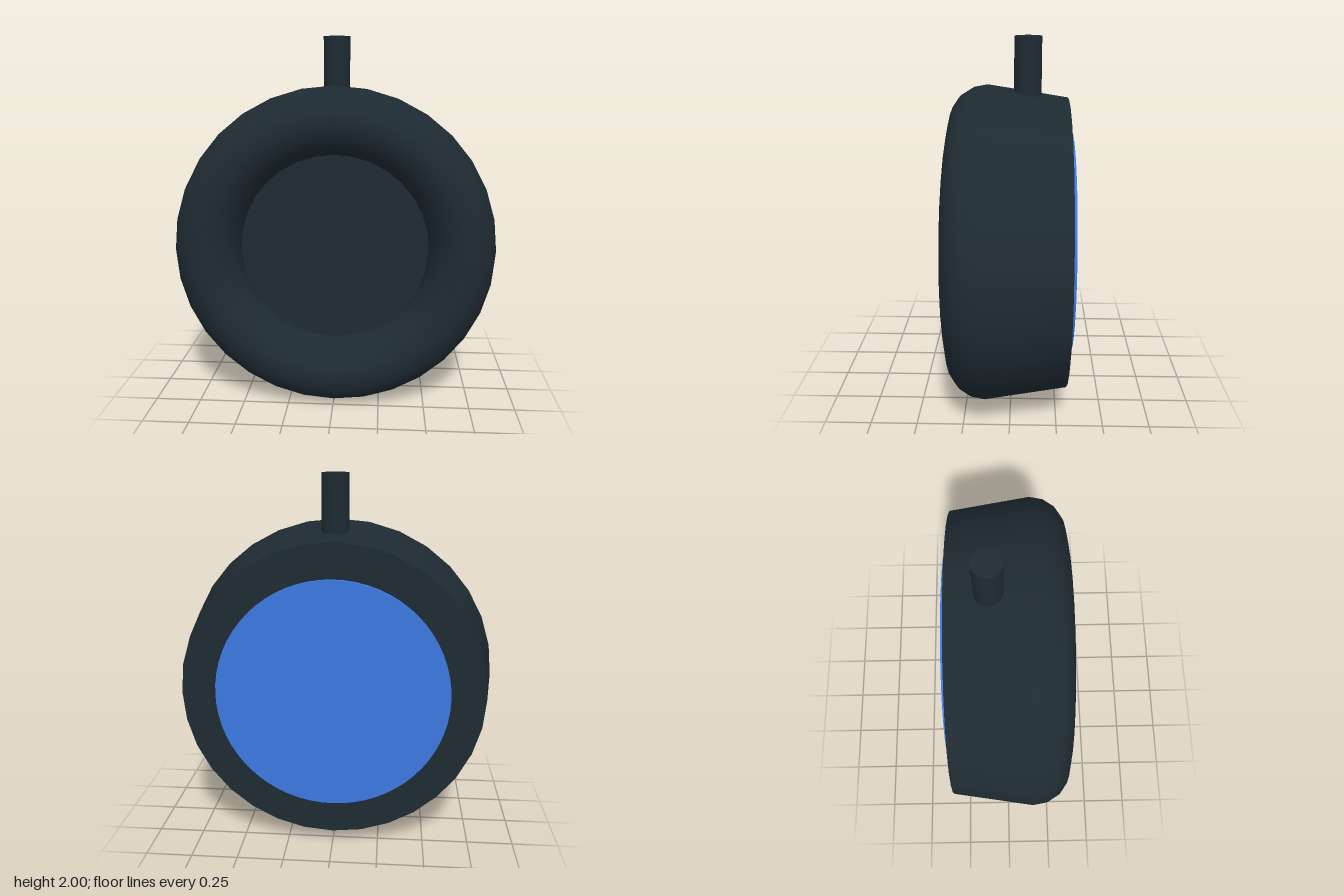
import * as THREE from 'three';

export function createModel() {
  const group = new THREE.Group();
  const slate = new THREE.MeshStandardMaterial({ color: 0x1e2a32 });
  slate.name = 'dark slate';
  const blue = new THREE.MeshStandardMaterial({ color: 0x3b78e0 });
  blue.name = 'blue';

  const centreY = 0.875;

  function add(name, geometry, material, x, y, z) {
    const mesh = new THREE.Mesh(geometry, material);
    mesh.name = name;
    mesh.position.set(x, y, z);
    group.add(mesh);
  }

  // Round drum lying along z, from its back to its front
  function addDrum(name, frontRadius, backRadius, back, front, sides, material) {
    const geometry = new THREE.CylinderGeometry(frontRadius, backRadius, front - back, sides);
    geometry.rotateX(Math.PI / 2);
    add(name, geometry, material, 0, centreY, (front + back) / 2);
  }

  // Tapered housing, whose front cap is the recessed face inside the rim
  addDrum('housing', 0.871, 0.802, -0.302, 0.135, 32, slate);

  // Rounded front rim, slightly deeper than it is wide
  const rim = new THREE.TorusGeometry(0.691, 0.18, 16, 32);
  rim.scale(1, 1, 1.07);
  add('frontRim', rim, slate, 0, centreY, 0.135);

  // Raised disc on the back
  addDrum('backDisc', 0.617, 0.617, -0.328, -0.295, 64, blue);

  // Stem on top
  add('stem', new THREE.CylinderGeometry(0.072, 0.072, 0.4, 32), slate, 0, 1.8, -0.085);

  return group;
}
